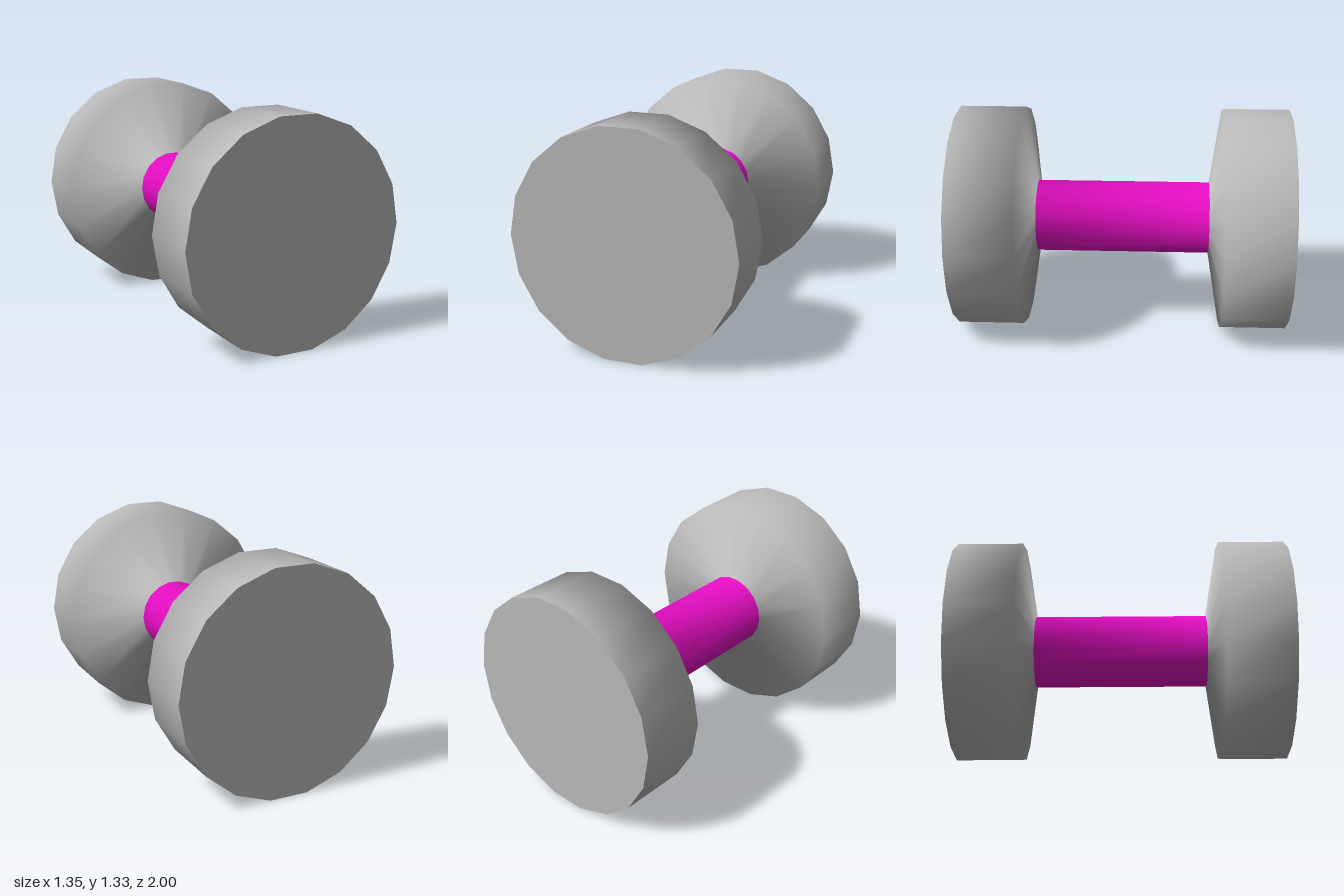
import * as THREE from 'three';

const SIDES = 18;
const R = 0.675;      // weight radius
const GRIP = 0.22;    // handle radius
const Y = 0.665;      // height of the axis

export function createModel() {
  const model = new THREE.Group();
  model.name = 'dumbbell';
  const metal = new THREE.MeshStandardMaterial({ color: 0xb9b9b9 });
  metal.name = 'grey metal';
  const pink = new THREE.MeshStandardMaterial({ color: 0xe60ec4 });
  pink.name = 'magenta grip';

  // One smooth profile along the axis, so that shading flows from rim to cone to handle
  const profile = [[R, -1], [R, -0.6], [GRIP, -0.525], [GRIP, 0.525], [R, 0.6], [R, 1]]
    .map(([r, z]) => new THREE.Vector2(r, z));
  const body = new THREE.LatheGeometry(profile, SIDES, Math.PI / 2);
  body.rotateX(Math.PI / 2);

  // Cuts out the rings of the body between two profile points
  const band = (from, to) => {
    const geometry = body.clone();
    const rings = profile.length - 1;
    const all = Array.from(body.index.array);
    geometry.setIndex(all.filter((_, i) => {
      const ring = Math.floor(i / 6) % rings;
      return ring >= from && ring < to;
    }));
    return geometry;
  };

  const add = (name, geometry, material, parent) => {
    const mesh = new THREE.Mesh(geometry, material);
    mesh.name = name;
    parent.add(mesh);
    return mesh;
  };

  // Handle
  add('handle', band(2, 3), pink, model).position.y = Y;

  // Weights: rim with inner cone, and a flat outer face
  for (const [name, side, from] of [['backWeight', -1, 0], ['frontWeight', 1, 3]]) {
    const weight = new THREE.Group();
    weight.name = name;
    weight.position.y = Y;
    add('rimAndCone', band(from, from + 2), metal, weight);
    const face = add('endFace', new THREE.CircleGeometry(R, SIDES), metal, weight);
    face.position.z = side;
    if (side < 0) face.rotation.y = Math.PI;
    model.add(weight);
  }
  return model;
}
